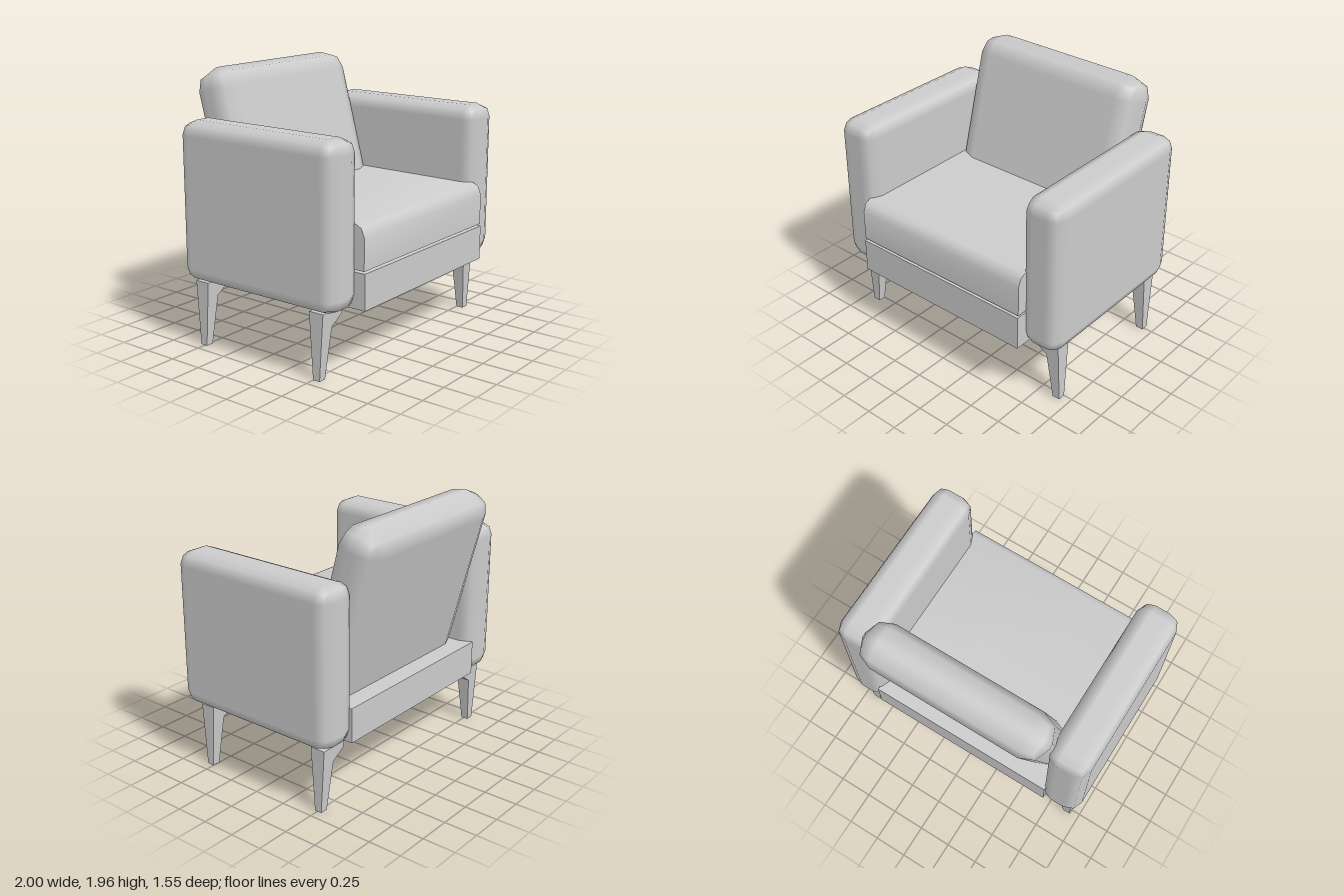
import * as THREE from 'three';
import { RoundedBoxGeometry } from 'three/addons/geometries/RoundedBoxGeometry.js';
import { toCreasedNormals } from 'three/addons/utils/BufferGeometryUtils.js';

const material = new THREE.MeshStandardMaterial({ color: 0xcccccc });

function add(parent, name, geometry, x = 0, y = 0, z = 0) {
  const mesh = new THREE.Mesh(geometry, material);
  mesh.name = name;
  mesh.position.set(x, y, z);
  parent.add(mesh);
  return mesh;
}

// Box given by its lower and upper y and its back and front z
function slab(halfWidth, y0, y1, z0, z1) {
  return new THREE.BoxGeometry(2 * halfWidth, y1 - y0, z1 - z0)
    .translate(0, (y0 + y1) / 2, (z0 + z1) / 2);
}

// Profile extruded to a centred depth
function extrude(points, depth) {
  const shape = new THREE.Shape(points.map(([x, y]) => new THREE.Vector2(x, y)));
  return new THREE.ExtrudeGeometry(shape, { depth, bevelEnabled: false })
    .translate(0, 0, -depth / 2);
}

// Bracket-shaped leg, narrowing in depth towards the foot
function legGeometry(side) {
  const profile = [[0.93, 0], [0.93, 0.478], [0.724, 0.478], [0.724, 0.432], [0.827, 0.362], [0.872, 0]];
  const geometry = extrude(profile.map(([x, y]) => [side * x, y]), 1);
  const pos = geometry.attributes.position;
  for (let i = 0; i < pos.count; i++) {
    const y = pos.getY(i);
    const width = y < 0.362 ? 0.055 + (y / 0.362) * 0.047 : 0.102 + ((y - 0.362) / 0.116) * 0.014;
    pos.setZ(i, pos.getZ(i) * width);
  }
  geometry.computeVertexNormals();
  return geometry;
}

export function createModel() {
  const chair = new THREE.Group();
  chair.name = 'armchair';

  // Seat base and the recessed strip above it
  add(chair, 'seatBase', slab(0.73, 0.485, 0.74, -0.638, 0.775));
  add(chair, 'seatGapStrip', slab(0.69, 0.735, 0.76, -0.4, 0.74));

  // Seat cushion with a rounded top front edge
  const cushion = extrude([
    [-0.4, 0.755], [0.768, 0.755], [0.768, 0.98], [0.743, 1.042], [0.7, 1.064], [-0.4, 1.07],
  ], 1.46).rotateY(-Math.PI / 2);
  add(chair, 'seatCushion', toCreasedNormals(cushion, 0.9));

  // Reclined backrest, sunk into the base
  const backrest = add(chair, 'backrest',
    new RoundedBoxGeometry(1.44, 1.383, 0.34, 1, 0.15), 0, 1.284, -0.468);
  backrest.rotation.x = -Math.PI / 12;

  // Arms and legs on both sides
  for (const side of [1, -1]) {
    const label = side > 0 ? 'left' : 'right';
    add(chair, label + 'Arm', new RoundedBoxGeometry(0.31, 1.15, 1.348, 1, 0.1), side * 0.845, 1.058, 0.036);
    add(chair, label + 'FrontLeg', legGeometry(side), 0, 0, 0.527);
    add(chair, label + 'BackLeg', legGeometry(side), 0, 0, -0.507);
  }
  return chair;
}
